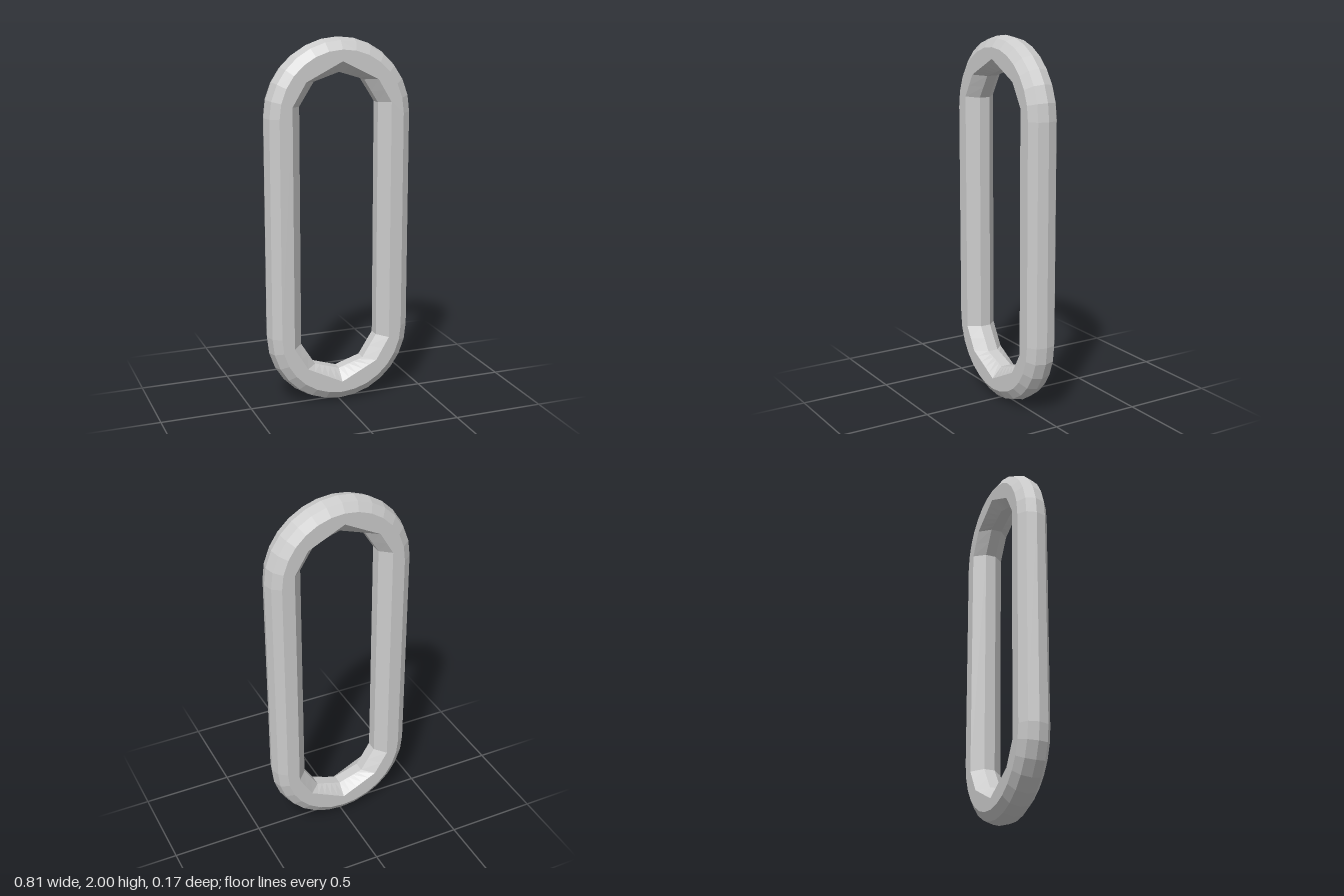
import * as THREE from 'three';

const material = new THREE.MeshStandardMaterial({ color: 0xcccccc, flatShading: true, side: THREE.DoubleSide });
const ARC_Y = 0.595; // centre of the end arcs, measured from the middle of the link
const rad = THREE.MathUtils.degToRad;

// One cross-section: rounded outer side follows an arc, inner side follows a coarse polygon
function section(angle, inner, rim) {
  const onArc = (r, z) => [r * Math.cos(rad(angle)), ARC_Y + r * Math.sin(rad(angle)), z];
  return [
    onArc(0.405, 0), onArc(0.39, 0.055), onArc(0.345, 0.087),
    [...rim, 0.087], [...inner, 0.03], [...inner, -0.03], [...rim, -0.087],
    onArc(0.345, -0.087), onArc(0.39, -0.055),
  ];
}

const mix = (a, b, t) => [a[0] + (b[0] - a[0]) * t, a[1] + (b[1] - a[1]) * t];

// Sections between two corners of the inner polygon
function run(a0, a1, from, to, steps) {
  return Array.from({ length: steps + 1 }, (_, i) => {
    const t = i / steps;
    return section(a0 + (a1 - a0) * t, mix(from.inner, to.inner, t), mix(from.rim, to.rim, t));
  });
}

const flip = (rings, sx, sy) =>
  rings.map((ring) => ring.map(([x, y, z]) => [x * sx, y * sy, z])).reverse();

// Skin a list of closed sections
function loft(rings) {
  const n = rings[0].length;
  const index = [];
  for (let i = 0; i < rings.length - 1; i++) {
    for (let j = 0; j < n; j++) {
      const a = i * n + j, b = i * n + (j + 1) % n;
      index.push(a, a + n, b, b, a + n, b + n);
    }
  }
  const geometry = new THREE.BufferGeometry();
  geometry.setAttribute('position', new THREE.Float32BufferAttribute(rings.flat(2), 3));
  geometry.setIndex(index);
  geometry.computeVertexNormals();
  return geometry;
}

export function createModel() {
  const group = new THREE.Group();
  group.name = 'chainLink';

  // Corners of the opening: bar end, seam with the bow, crown
  const barEnd = { inner: [0.22, 0.65], rim: [0.275, 0.655] };
  const seam = { inner: [0.14, 0.775], rim: [0.2, 0.78] };
  const crown = { inner: [0, 0.82], rim: [0, 0.88] };

  const shoulder = run(0, 27, barEnd, seam, 2);
  const halfBow = run(27, 90, seam, crown, 5);

  const barGeometry = loft([...flip(shoulder, 1, -1), ...shoulder]);
  const bowGeometry = loft([...halfBow, ...flip(halfBow, -1, 1).slice(1)]);

  // Each piece is repeated by a half turn about the middle of the link
  const pieces = [
    ['leftBar', barGeometry, 0], ['rightBar', barGeometry, Math.PI],
    ['topBow', bowGeometry, 0], ['bottomBow', bowGeometry, Math.PI],
  ];
  for (const [name, geometry, turn] of pieces) {
    const mesh = new THREE.Mesh(geometry, material);
    mesh.name = name;
    mesh.position.y = 1;
    mesh.rotation.z = turn;
    group.add(mesh);
  }
  return group;
}
